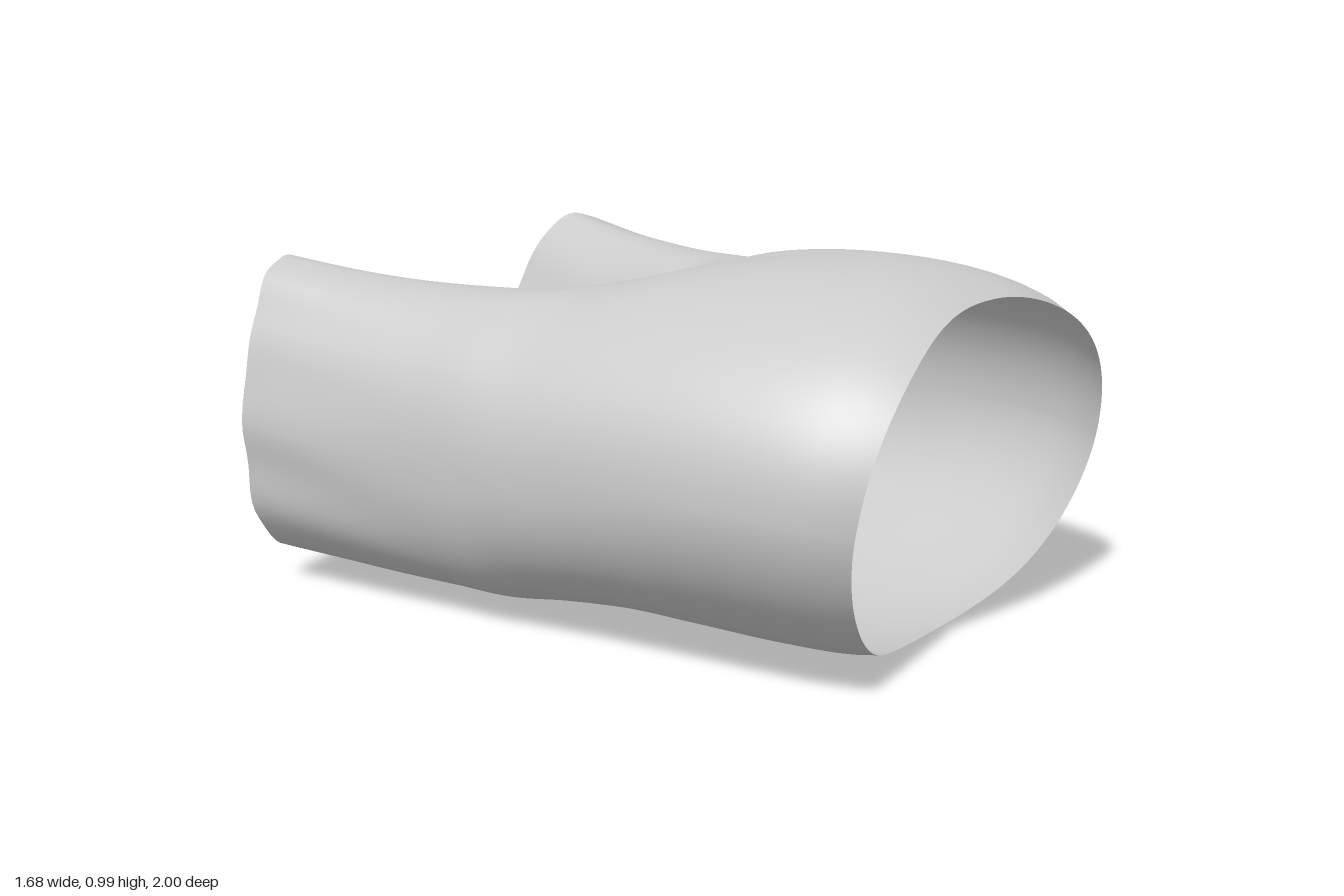
import * as THREE from 'three';
import { mergeVertices } from 'three/addons/utils/BufferGeometryUtils.js';

// Profile keys along the garment: [z, inner x, outer x, bottom y, top y].
// A negative inner x means both leg tubes overlap and are cut at the centre seam.
const KEYS = [
  [-0.93, 0.32, 0.835, 0.09, 0.935],
  [-0.7, 0.24, 0.81, 0.078, 0.905],
  [-0.5, 0.175, 0.787, 0.066, 0.89],
  [-0.3, 0.085, 0.767, 0.056, 0.885],
  [-0.15, 0, 0.758, 0.05, 0.89],
  [0, -0.24, 0.752, 0.05, 0.91],
  [0.2, -0.48, 0.737, 0.045, 0.96],
  [0.4, -0.62, 0.722, 0.025, 0.99],
  [0.6, -0.69, 0.703, 0.01, 1.0],
  [0.75, -0.675, 0.678, 0.012, 0.99],
  [0.87, -0.645, 0.645, 0.018, 0.965],
  [0.95, -0.6, 0.6, 0.03, 0.93],
];
const CROTCH_Z = -0.15;
const { smoothstep } = THREE.MathUtils;

// Smooth (cubic Hermite) lookup of one profile column.
function profile(z, col) {
  let i = 0;
  while (i < KEYS.length - 2 && z > KEYS[i + 1][0]) i++;
  const slope = (k) => {
    const a = KEYS[Math.max(k - 1, 0)], b = KEYS[Math.min(k + 1, KEYS.length - 1)];
    return (b[col] - a[col]) / (b[0] - a[0]);
  };
  const a = KEYS[i], b = KEYS[i + 1], h = b[0] - a[0];
  const t = (z - a[0]) / h, t2 = t * t, t3 = t2 * t;
  return (2 * t3 - 3 * t2 + 1) * a[col] + (t3 - 2 * t2 + t) * h * slope(i)
    + (3 * t2 - 2 * t3) * b[col] + (t3 - t2) * h * slope(i + 1);
}

const power = (v, p) => Math.sign(v) * Math.abs(v) ** p;

// One point of the left half: z along the leg, u from 0 to 1 around the section.
function clothPoint(z, u) {
  const inner = z === CROTCH_Z ? 0 : profile(z, 1), outer = profile(z, 2);
  const low = profile(z, 3), high = profile(z, 4);
  const cx = (inner + outer) / 2, rx = (outer - inner) / 2;
  const leg = smoothstep(-z, 0.2, 0.93);
  const round = 0.92 + 0.1 * leg;
  const limit = inner >= 0 ? Math.PI : Math.acos(-(Math.min(1, Math.max(0, cx / rx)) ** (1 / round)));
  const angle = (2 * u - 1) * limit;
  const sin = Math.sin(angle), cos = Math.cos(angle);
  // full at the hip, rounder under the belly, sloping away on the inner thigh
  const c = power(cos, round);
  const under = 0.88 + 0.24 * smoothstep(z, 0.1, 0.7) + 0.17 * leg;
  const s = power(sin, sin > 0 ? (cos > 0 ? 0.92 : 1.3) : (cos > 0 ? under : 1.6));

  // soft cloth folds that grow toward the hem
  const fold = 1 + leg * (0.015 * Math.sin(7 * angle + 0.6) + 0.015 * Math.sin(11 * angle + 2));
  const x = cx + rx * c * fold + leg * (0.035 * s * s * (1 - 0.5 * Math.abs(c)) - 0.035 * s * c);
  const sag = 0.05 * (1 - leg) * Math.min(0, c) ** 2;
  const y = (low + high) / 2 + (high - low) / 2 * s * (1 + (fold - 1) * 0.4) - sag;

  // slanted hem and dipped waist line
  const waist = smoothstep(z, 0.2, 0.95);
  const dz = waist * (0.025 + 0.075 * s - 0.04 * s * s - 0.06 * s ** 6) + leg * 0.07 * c;
  const open = inner < 0 || z === CROTCH_Z;
  return [open && (u === 0 || u === 1) ? 0 : x, y, z + dz];
}

function shortsGeometry() {
  const rows = 30, around = 72, positions = [], index = [];
  for (const side of [1, -1]) {
    const start = positions.length / 3;
    for (let i = -rows; i <= rows; i++) {
      // rows gather around the crotch, where the two legs part
      const z = CROTCH_Z + (i < 0 ? -0.78 : 1.1) * (Math.abs(i) / rows) ** 1.6;
      for (let j = 0; j <= around; j++) {
        const [x, y, pz] = clothPoint(z, j / around);
        positions.push(side * x, y, pz);
      }
    }
    for (let i = 0; i < 2 * rows; i++) {
      for (let j = 0; j < around; j++) {
        const a = start + i * (around + 1) + j, b = a + 1, d = a + around + 1, e = d + 1;
        if (side > 0) index.push(a, b, e, a, e, d);
        else index.push(a, e, b, a, d, e);
      }
    }
  }
  const geometry = new THREE.BufferGeometry();
  geometry.setAttribute('position', new THREE.Float32BufferAttribute(positions, 3));
  geometry.setIndex(index);
  // weld the centre seam and the inseams so the cloth shades as one piece
  const welded = mergeVertices(geometry, 1e-4);
  welded.computeVertexNormals();
  return welded;
}

export function createModel() {
  const group = new THREE.Group();
  group.name = 'shorts';
  const material = new THREE.MeshStandardMaterial({ color: 0xcccccc, side: THREE.DoubleSide });
  const cloth = new THREE.Mesh(shortsGeometry(), material);
  cloth.name = 'shortsCloth';
  group.add(cloth);
  return group;
}
